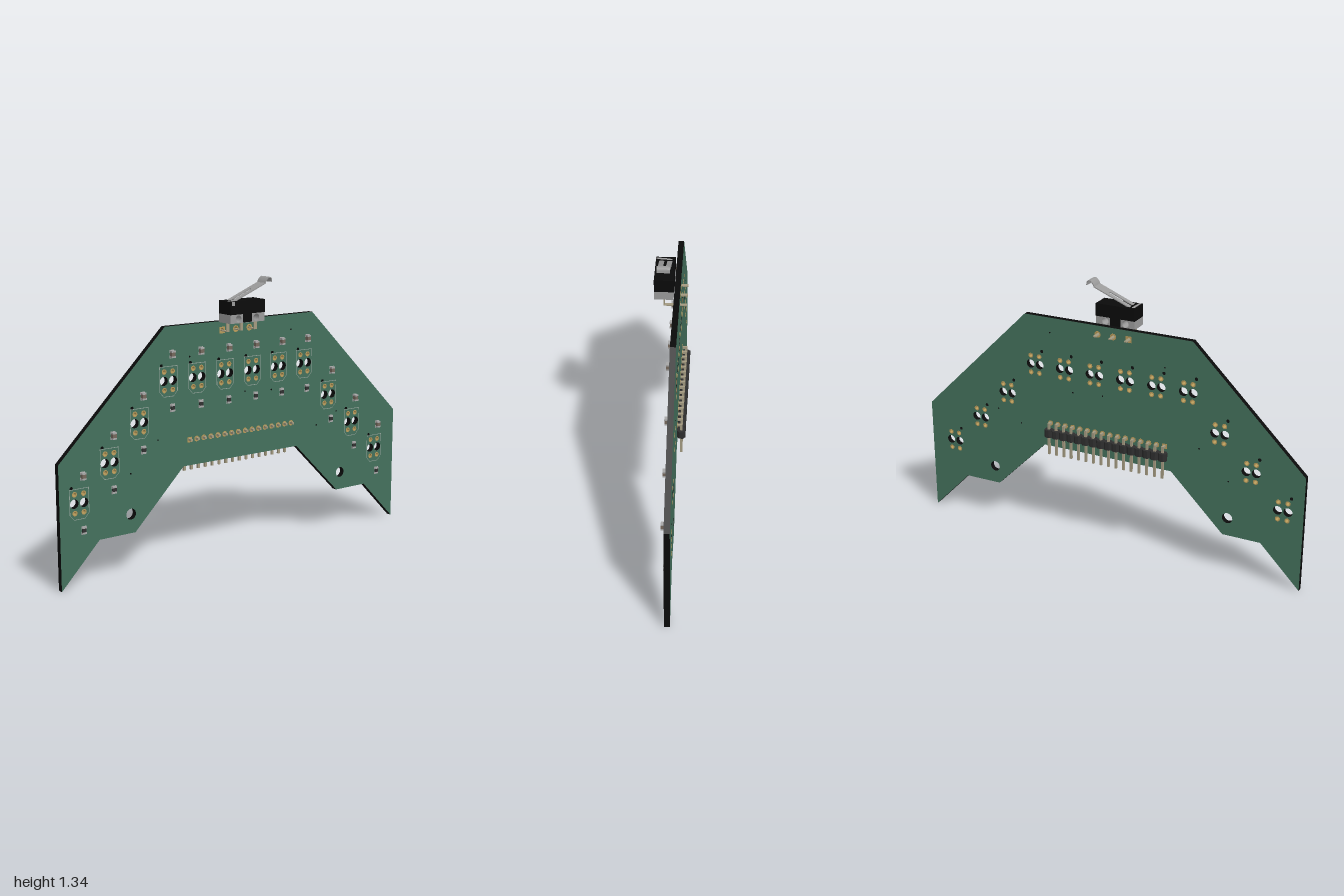
import * as THREE from 'three';

const FRONT = -0.01, BACK = -0.037, THICK = FRONT - BACK;
const mat = (color) => new THREE.MeshStandardMaterial({ color });
const green = mat(0x44705c), black = mat(0x0a0a0a), gold = mat(0xb89a5a), silver = mat(0xa8a8a8);
const grey = mat(0x9a9a9a), plastic = mat(0x2e2e2e), pinMetal = mat(0xa39a80);
const brown = mat(0x75685c), dark = mat(0x303030), ink = mat(0x93a59b);

const poly = (pts) => new THREE.Shape(pts.map(([x, y]) => new THREE.Vector2(x, y)));
const extrude = (shape, depth) =>
  new THREE.ExtrudeGeometry(shape, { depth, bevelEnabled: false, curveSegments: 10 });
const circle = (x, y, r) => new THREE.Path().absarc(x, y, r, 0, Math.PI * 2, true);
const rect = (w, h) => [[-w, -h], [w, -h], [w, h], [-w, h]];

function add(parent, name, geometry, material, x = 0, y = 0, z = 0) {
  const mesh = new THREE.Mesh(geometry, material);
  mesh.name = name;
  mesh.position.set(x, y, z);
  parent.add(mesh);
  return mesh;
}

// Box given by its minimum and maximum on each axis
function box(parent, name, material, x0, x1, y0, y1, z0, z1) {
  return add(parent, name, new THREE.BoxGeometry(x1 - x0, y1 - y0, z1 - z0), material,
    (x0 + x1) / 2, (y0 + y1) / 2, (z0 + z1) / 2);
}

// Plated pad slightly proud of both faces of the board
function padGeometry(inner, outer, square) {
  const shape = square ? poly(rect(outer, outer)) : new THREE.Shape().absarc(0, 0, outer, 0, Math.PI * 2);
  shape.holes.push(circle(0, 0, inner));
  return extrude(shape, THICK + 0.002);
}

function createModel() {
  const root = new THREE.Group();
  root.name = 'sensorBoard';

  // Sensor positions: a stepped arc of twelve
  const sensors = [];
  for (let i = 0; i < 12; i++) {
    const step = Math.min(i, 11 - i);
    sensors.push([-0.9 + i * 0.1605, step < 3 ? 0.393 + step * 0.1605 : 0.89]);
  }
  const bigHoles = [[-0.025, 0], [0.025, 0]];
  const pinHoles = [[-0.023, 0.043], [0.023, 0.043], [-0.023, -0.043], [0.023, -0.043]];
  const headerX = Array.from({ length: 16 }, (_, i) => -0.305 + i * 0.0406);
  const switchPinX = [-0.115, -0.035, 0.045];

  // Board with its drilled holes
  const right = [[0.34, 0.475], [0.61, 0.205], [0.8, 0.205], [1, 0], [1, 0.58], [0.435, 1.14]];
  const left = right.map(([x, y]) => [-x, y]).reverse();
  const outline = poly([...right, ...left]);
  for (const [sx, sy] of sensors) {
    for (const [x, y] of bigHoles) outline.holes.push(circle(sx + x, sy + y, 0.0215));
    for (const [x, y] of pinHoles) outline.holes.push(circle(sx + x, sy + y, 0.011));
    outline.holes.push(circle(sx - 0.038, sy + 0.072, 0.008));
  }
  for (const x of [-0.632, 0.632]) outline.holes.push(circle(x, 0.295, 0.026));
  for (const x of headerX) outline.holes.push(circle(x, 0.598, 0.009));
  for (const x of switchPinX) outline.holes.push(circle(x, 1.097, 0.011));
  const vias = [[-0.63, 0.485], [0.47, 0.565], [0.3, 1.065], [-0.48, 0.62], [-0.3, 0.99],
    [0.02, 0.79], [0.6, 0.62], [0.18, 0.78]];
  for (const [x, y] of vias) outline.holes.push(circle(x, y, 0.004));
  add(root, 'board', extrude(outline, THICK), [green, black], 0, 0, BACK);

  // Sensor footprints: plated holes, printed outline, capacitor and resistor
  const smallPad = padGeometry(0.008, 0.0125);
  const printed = (s) => [[-0.05 + s, 0.068 - s], [-0.05 + s, -0.05], [-0.027, -0.075 + s],
    [0.027, -0.075 + s], [0.05 - s, -0.05], [0.05 - s, 0.068 - s]];
  const frame = poly(printed(0));
  frame.holes.push(poly(printed(0.003)));
  const frameGeometry = new THREE.ShapeGeometry(frame);

  function chip(parent, name, material, x, y, top) {
    const g = new THREE.Group();
    g.name = name;
    box(g, 'chipBody', material, x - 0.01, x + 0.01, y - 0.009, y + 0.009, FRONT, top);
    for (const s of [-1, 1]) {
      const c = y + s * 0.0125;
      box(g, 'chipTerminal', silver, x - 0.0105, x + 0.0105, c - 0.004, c + 0.004, FRONT, top + 0.0005);
      box(g, 'solderPad', silver, x - 0.013, x + 0.013, c - 0.007, c + 0.007, FRONT, FRONT + 0.001);
    }
    parent.add(g);
  }

  for (const [sx, sy] of sensors) {
    const g = new THREE.Group();
    g.name = 'sensorFootprint';
    for (const [x, y] of pinHoles) add(g, 'platedHole', smallPad, gold, sx + x, sy + y, BACK - 0.001);
    add(g, 'printedOutline', frameGeometry, ink, sx, sy, FRONT + 0.001);
    chip(g, 'capacitor', brown, sx + 0.02, sy + 0.122, 0.007);
    chip(g, 'resistor', dark, sx + 0.02, sy - 0.128, -0.003);
    root.add(g);
  }

  // Right-angle pin header on the back
  const header = new THREE.Group();
  header.name = 'pinHeader';
  const c = 0.011, w = 0.0203, d = 0.0195;
  const blockGeometry = extrude(poly([[-w + c, -d], [w - c, -d], [w, -d + c], [w, d - c],
    [w - c, d], [-w + c, d], [-w, d - c], [-w, -d + c]]), 0.039).rotateX(-Math.PI / 2);
  const roundPad = padGeometry(0.008, 0.0135), squarePad = padGeometry(0.008, 0.0125, true);
  headerX.forEach((x, i) => {
    add(header, 'headerPad', i ? roundPad : squarePad, gold, x, 0.598, BACK - 0.001);
    add(header, 'headerBlock', blockGeometry, plastic, x, 0.533, -0.0565);
    box(header, 'pinLeg', pinMetal, x - 0.0055, x + 0.0055, 0.44, 0.604, -0.062, -0.051);
    box(header, 'pinTail', pinMetal, x - 0.0055, x + 0.0055, 0.593, 0.604, -0.052, 0.009);
  });
  root.add(header);

  // Lever switch on the top edge
  const sw = new THREE.Group();
  sw.name = 'leverSwitch';
  box(sw, 'switchCover', black, -0.132, 0.068, 1.177, 1.238, FRONT, 0.08);
  const base = poly([[-0.132, 1.136], [0.068, 1.136], [0.068, 1.177], [-0.132, 1.177]]);
  for (const x of [-0.085, 0.019]) base.holes.push(circle(x, 1.157, 0.0165));
  add(sw, 'switchBase', extrude(base, 0.088), grey, 0, 0, -0.009);
  box(sw, 'switchClip', black, -0.06, -0.007, 1.138, 1.178, FRONT, 0.081);

  // Bent terminals running through the board
  const bigRound = padGeometry(0.01, 0.016), bigSquare = padGeometry(0.01, 0.0155, true);
  switchPinX.forEach((x, i) => {
    add(sw, 'terminalPad', i ? bigRound : bigSquare, gold, x, 1.097, BACK - 0.001);
    box(sw, 'terminalDrop', pinMetal, x - 0.008, x + 0.008, 1.093, 1.14, 0.032, 0.038);
    box(sw, 'terminalTail', pinMetal, x - 0.008, x + 0.008, 1.093, 1.098, -0.07, 0.038);
  });

  // Slotted lever arm
  const arm = poly([[0, -0.03], [0.222, -0.03], [0.222, 0.03], [0, 0.03]]);
  const slot = new THREE.Path();
  slot.absarc(0.03, 0, 0.007, Math.PI / 2, Math.PI * 1.5);
  slot.absarc(0.145, 0, 0.007, -Math.PI / 2, Math.PI / 2);
  slot.closePath();
  arm.holes.push(slot);
  const armMesh = add(sw, 'leverArm', extrude(arm, 0.005).rotateX(-Math.PI / 2), grey, -0.12, 1.224, 0.034);
  armMesh.rotation.z = 0.385;
  box(sw, 'leverPivot', grey, -0.124, -0.108, 1.219, 1.238, 0.004, 0.0805);

  // Curled lever tip: a curve thickened to a strip
  const curve = new THREE.CatmullRomCurve3([[0.083, 1.309], [0.09, 1.323], [0.103, 1.335],
    [0.118, 1.332], [0.122, 1.314]].map(([x, y]) => new THREE.Vector3(x, y, 0)));
  const upper = [], lower = [];
  for (let i = 0; i <= 14; i++) {
    const p = curve.getPoint(i / 14), t = curve.getTangent(i / 14);
    upper.push([p.x - t.y * 0.0025, p.y + t.x * 0.0025]);
    lower.unshift([p.x + t.y * 0.0025, p.y - t.x * 0.0025]);
  }
  add(sw, 'leverTip', extrude(poly([...upper, ...lower]), 0.06), grey, 0, 0, 0.004);
  root.add(sw);

  return root;
}

export { createModel };
